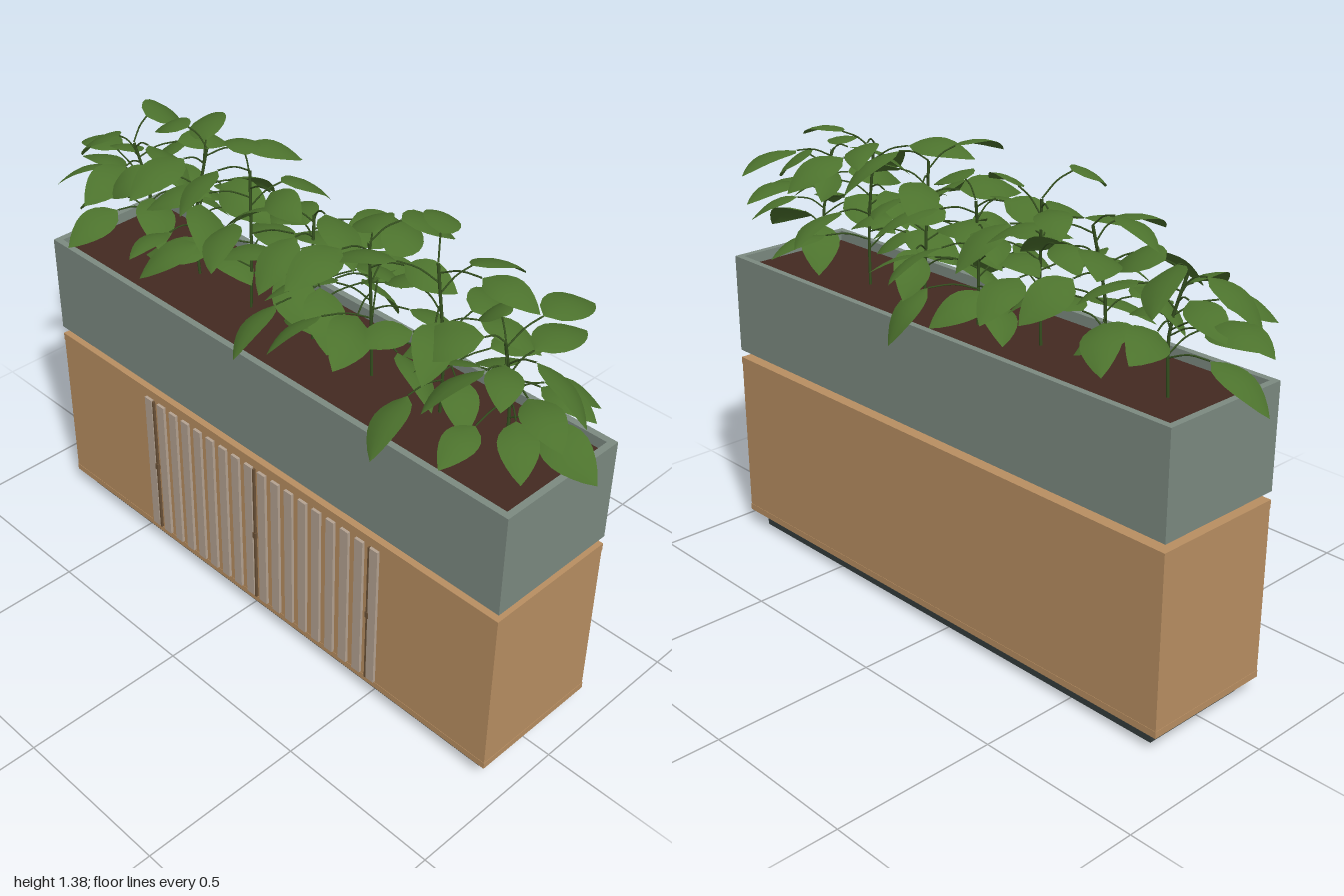
import * as THREE from 'three';

const mat = (name, color, side = THREE.FrontSide) => {
  const m = new THREE.MeshStandardMaterial({ color, side });
  m.name = name;
  return m;
};

// Small repeatable number generator
function seeded(seed) {
  return () => {
    seed = (seed * 16807) % 2147483647;
    return seed / 2147483647;
  };
}

// Pointed oval blade along +z, folded at the midrib and curling down at the tip
function leafGeometry() {
  const g = new THREE.PlaneGeometry(2, 1, 4, 8);
  const p = g.attributes.position;
  for (let i = 0; i < p.count; i++) {
    const s = p.getX(i), t = 0.5 - p.getY(i);
    const half = 0.3 * Math.pow(Math.sin(Math.PI * Math.pow(t, 0.8)), 0.85) || 0;
    const arch = 0.1 * Math.sin(Math.PI * t) - 0.12 * t * t;
    p.setXYZ(i, s * half, arch - 0.16 * half * s * s, t);
  }
  g.computeVertexNormals();
  return g;
}

export function createModel() {
  const model = new THREE.Group();
  model.name = 'planterCabinet';
  const wood = mat('wood', 0xb98f62);
  const slatGrey = mat('slat grey', 0xb5a392);
  const gap = mat('dark gap', 0x6b5238);
  const paint = mat('planter grey green', 0x7c8a81);
  const dark = mat('dark plinth', 0x343c3c);
  const earth = mat('soil', 0x432a21);
  const leafGreen = mat('leaf green', 0x4c722d, THREE.DoubleSide);
  const stemGreen = mat('stem green', 0x35501f);

  // Box given by its lower and upper limits on each axis
  const box = (name, material, x0, x1, y0, y1, z0, z1, parent = model) => {
    const m = new THREE.Mesh(new THREE.BoxGeometry(x1 - x0, y1 - y0, z1 - z0), material);
    m.position.set((x0 + x1) / 2, (y0 + y1) / 2, (z0 + z1) / 2);
    m.name = name;
    parent.add(m);
    return m;
  };
  const X0 = -0.832, X1 = 0.935, Z0 = -0.22, Z1 = 0.202;

  // Cabinet on a recessed plinth
  box('plinth', dark, -0.787, 0.892, 0, 0.052, -0.185, 0.167);
  box('cabinetBottom', wood, X0, X1, 0.052, 0.073, Z0, Z1);
  box('cabinetBody', wood, X0 + 0.001, X1 - 0.001, 0.073, 0.571, Z0 + 0.001, Z1 - 0.001);
  box('cabinetTop', wood, X0, X1, 0.571, 0.595, Z0, Z1);

  // Slatted double door
  const doors = new THREE.Group();
  doors.name = 'slattedDoors';
  model.add(doors);
  const count = 18, slatWidth = 0.03, pitch = (0.96 - slatWidth) / (count - 1);
  for (let i = 0; i < count; i++) {
    const x = -0.43 + i * pitch;
    box('slat', slatGrey, x, x + slatWidth, 0.078, 0.566, 0.198, 0.21, doors);
  }
  // Door edges, meeting line and small knobs
  for (const x of [-0.393, 0.046, 0.498]) {
    box('doorGap', gap, x - 0.003, x + 0.003, 0.078, 0.566, 0.203, 0.2105, doors);
    box('doorKnob', gap, x - 0.006, x + 0.006, 0.31, 0.33, 0.203, 0.212, doors);
  }

  // Feet carrying the trough
  for (const x of [-0.665, 0.767]) for (const z of [0.122, -0.14]) {
    const foot = new THREE.Mesh(new THREE.CylinderGeometry(0.016, 0.02, 0.03, 12), dark);
    foot.position.set(x, 0.608, z);
    foot.name = 'troughFoot';
    model.add(foot);
  }

  // Open trough with soil
  const t = 0.02, yb = 0.62, yt = 0.932;
  box('troughFloor', paint, X0, X1, yb, yb + t, Z0, Z1);
  box('troughFront', paint, X0, X1, yb + t, yt, Z1 - t, Z1);
  box('troughBack', paint, X0, X1, yb + t, yt, Z0, Z0 + t);
  box('troughLeft', paint, X1 - t, X1, yb + t, yt, Z0 + t, Z1 - t);
  box('troughRight', paint, X0, X0 + t, yb + t, yt, Z0 + t, Z1 - t);
  box('soil', earth, X0 + t, X1 - t, yb + t, 0.9, Z0 + t, Z1 - t);

  // Plants
  const blade = leafGeometry();
  const tube = (name, pts, r, parent) => {
    const curve = new THREE.CatmullRomCurve3(pts);
    const m = new THREE.Mesh(new THREE.TubeGeometry(curve, 6, r, 5), stemGreen);
    m.name = name;
    parent.add(m);
    return curve;
  };
  // Leaf on a stalk: yaw around the stem, stalk reach and rise, blade length and droop
  const addLeaf = (plant, from, yaw, reach, rise, length, droop, roll = 0) => {
    const out = new THREE.Vector3(Math.sin(yaw), 0, Math.cos(yaw));
    const end = from.clone().addScaledVector(out, reach);
    end.y += rise;
    const mid = from.clone().lerp(end, 0.5);
    mid.y += 0.012;
    tube('leafStalk', [from, mid, end], 0.0025, plant);
    const leaf = new THREE.Mesh(blade, leafGreen);
    leaf.name = 'leaf';
    leaf.position.copy(end);
    leaf.rotation.set(droop, yaw, roll, 'YXZ');
    leaf.scale.setScalar(length);
    plant.add(leaf);
  };
  const rand = seeded(4217);
  const vary = (a, b) => a + (b - a) * rand();
  const tops = [1.23, 1.3, 1.32, 1.27, 1.32, 1.34, 1.26];
  tops.forEach((top, k) => {
    const plant = new THREE.Group();
    plant.name = 'plant';
    model.add(plant);
    const x = -0.66 + k * 0.235, z = -0.01 + vary(-0.02, 0.02);
    const stem = tube('stem', [
      new THREE.Vector3(x, 0.89, z),
      new THREE.Vector3(x + vary(-0.01, 0.01), 1.08, z + vary(-0.01, 0.01)),
      new THREE.Vector3(x + vary(-0.04, 0.04), top, z + vary(-0.04, 0.04)),
    ], 0.0045, plant);
    const n = 13;
    for (let i = 0; i < n; i++) {
      const u = i / (n - 1);
      const yaw = k * 1.3 + i * 2.4 + vary(-0.3, 0.3);
      // Stalks along the row stay shorter on the two end plants
      const along = k % 6 === 0 ? 1 - 0.3 * Math.abs(Math.sin(yaw)) : 1;
      addLeaf(plant, stem.getPoint(0.32 + 0.68 * Math.pow(u, 0.9)), yaw,
        (0.13 - 0.03 * u) * vary(0.65, 1.3) * along, vary(0.01, 0.05),
        vary(0.15, 0.205), vary(-0.1, 0.5), vary(-0.55, 0.55));
    }
    // Long outer leaves at both ends of the row
    if (k === 0) {
      addLeaf(plant, stem.getPoint(0.5), -1.65, 0.155, 0.07, 0.19, 0.1);
      addLeaf(plant, stem.getPoint(0.3), -1.4, 0.12, 0.02, 0.2, 0.45);
    }
    if (k === 6) {
      addLeaf(plant, stem.getPoint(0.6), 1.7, 0.085, 0.03, 0.16, 0.1);
      addLeaf(plant, stem.getPoint(0.45), 0.8, 0.12, 0.03, 0.17, 0.3);
    }
    // Low leaf hanging over the back edge
    if (k === 3) addLeaf(plant, stem.getPoint(0.3), 2.9, 0.16, 0.03, 0.19, 0.75);
  });
  return model;
}
